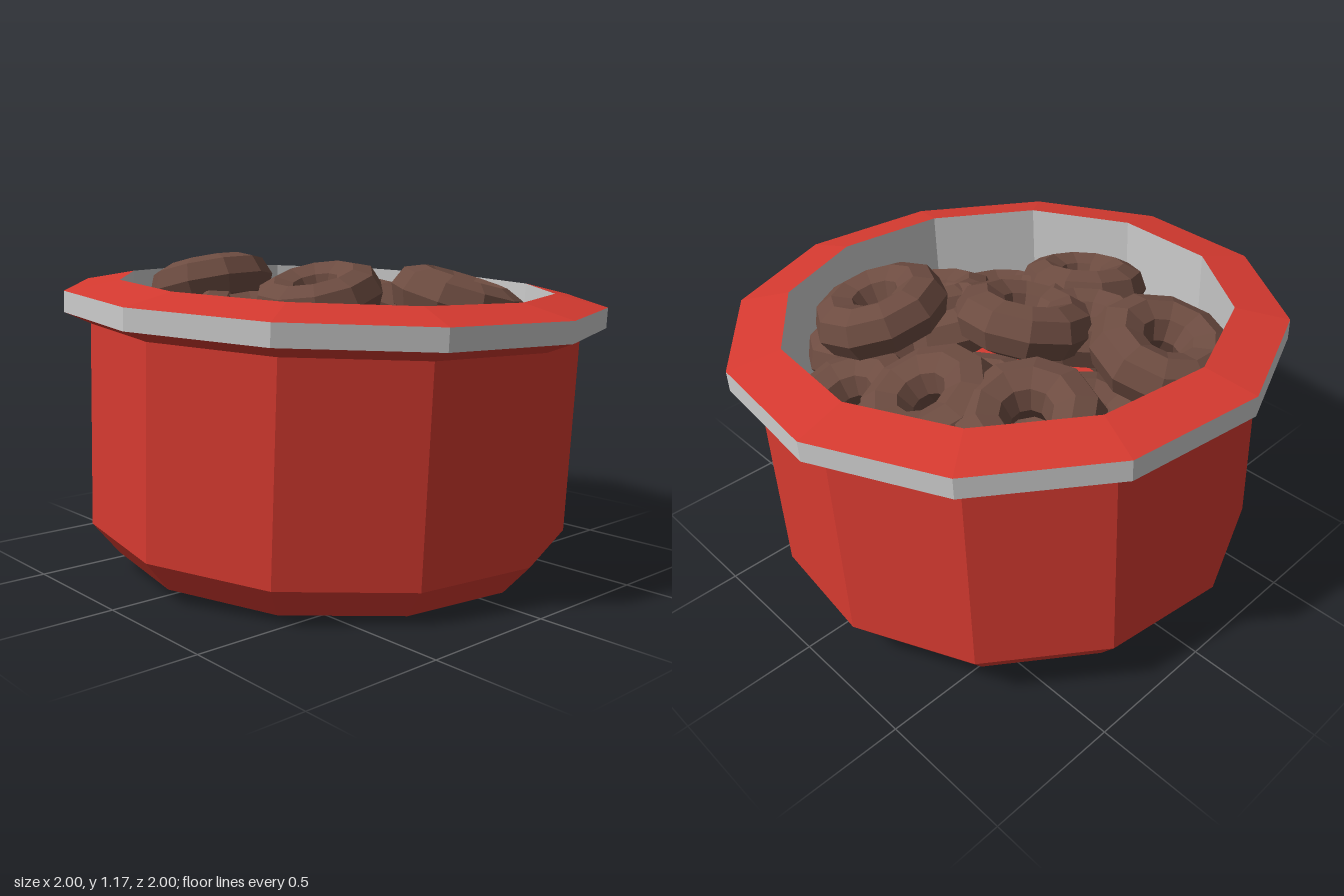
import * as THREE from 'three';

const SIDES = 12;
const TURN = Math.PI / 24; // twist of the twelve-sided bowl

const mat = (color) => new THREE.MeshStandardMaterial({ color, flatShading: true });

export function createModel() {
  const red = mat(0xd63a30);
  const grey = mat(0xcccccc);
  const brown = mat(0x6d4c41);
  const model = new THREE.Group();
  model.name = 'bowlOfRings';

  // Tilted bowl: each section is one strip of the same turned profile
  const bowl = new THREE.Group();
  bowl.name = 'bowl';
  bowl.position.set(0, 0.05, -0.056);
  bowl.rotation.x = 0.058;
  model.add(bowl);

  const section = (name, material, points) => {
    const profile = points.map(([r, y]) => new THREE.Vector2(r, y));
    const mesh = new THREE.Mesh(new THREE.LatheGeometry(profile, SIDES, TURN), material);
    mesh.name = name;
    bowl.add(mesh);
  };
  section('base', grey, [[0, 0], [0.82, 0]]);
  section('outerWall', red, [[0.82, 0], [0.917, 0.118], [0.917, 0.86], [1.008, 0.9]]);
  section('rimEdge', grey, [[1.008, 0.9], [1.008, 0.975]]);
  section('rimTop', red, [[1.008, 0.975], [0.815, 1.015]]);
  section('innerWall', grey, [[0.815, 1.015], [0.815, 0.6]]);
  section('innerFloor', red, [[0.815, 0.6], [0, 0.6]]);

  // Chunky food rings: x, y, z, tilt about x, tilt about z
  const ring = new THREE.TorusGeometry(0.16, 0.1, 8, 10).rotateX(Math.PI / 2);
  const pile = new THREE.Group();
  pile.name = 'foodRings';
  model.add(pile);
  [
    // top layer
    [-0.17, 1.04, -0.59, -0.22, 0.05],
    [-0.03, 1.0, -0.07, 0.05, 0.28],
    [0.29, 0.99, 0.36, 0.23, -0.17],
    [0.36, 0.95, -0.48, -0.1, -0.25],
    [0.49, 0.91, -0.14, 0.15, -0.35],
    // middle layer
    [-0.27, 0.9, -0.15, 0.1, 0.15],
    [-0.23, 0.85, 0.17, 0.2, 0.1],
    [-0.43, 0.88, -0.42, -0.15, 0.3],
    [-0.57, 0.85, 0.13, 0.15, 0.2],
    [0.0, 0.82, 0.35, 0.25, -0.05],
    [-0.12, 0.78, 0.54, 0.25, 0.1],
    // bottom layer
    [0.25, 0.77, 0.5, 0.2, -0.1],
    [0.57, 0.78, 0.18, 0.1, -0.25],
    [-0.51, 0.76, -0.17, -0.1, 0.15],
    [-0.38, 0.73, 0.4, 0.15, 0.15],
    [0.1, 0.8, -0.5, -0.2, 0],
    [0.23, 0.76, -0.1, 0, -0.1],
    [0.52, 0.73, -0.3, 0, -0.1],
  ].forEach(([x, y, z, rx, rz], i) => {
    const mesh = new THREE.Mesh(ring, brown);
    mesh.name = `foodRing${i + 1}`;
    mesh.position.set(x, y, z);
    mesh.rotation.set(rx, i * 0.21, rz, 'XZY');
    pile.add(mesh);
  });

  return model;
}
